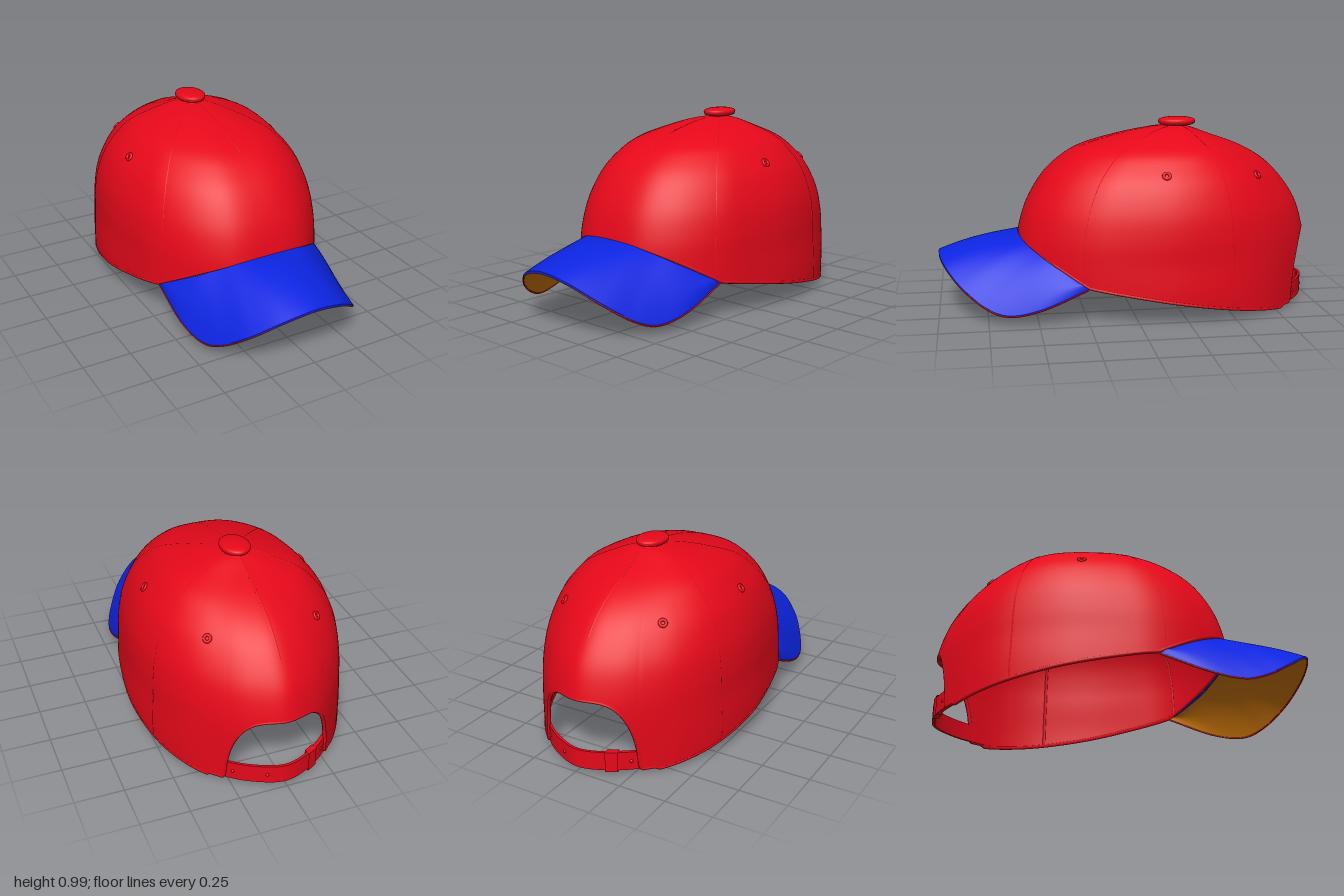
import * as THREE from 'three';
import { mergeVertices } from 'three/addons/utils/BufferGeometryUtils.js';

const V = (x, y, z) => new THREE.Vector3(x, y, z);
const paint = (color) => new THREE.MeshStandardMaterial({ color, side: THREE.DoubleSide });
const APEX_Z = -0.28;

// Plan outline of the crown, from the back round the left side to the front, then mirrored
const half = [[0, -0.995], [0.15, -0.945], [0.28, -0.85], [0.42, -0.69], [0.515, -0.48], [0.555, -0.2],
  [0.52, 0.1], [0.46, 0.28], [0.34, 0.45], [0.19, 0.555], [0, 0.58]];
const outline = new THREE.CatmullRomCurve3([
  ...half.map(([x, z]) => V(x, 0, z)),
  ...half.slice(1, -1).reverse().map(([x, z]) => V(-x, 0, z)),
], true, 'catmullrom');
const outlineAt = (u) => outline.getPoint(((u % 1) + 1) % 1);

// Radius fraction at each height, for the front, side and back of the crown
const heights = [0.95, 0.935, 0.9, 0.84, 0.77, 0.68, 0.55, 0.42, 0.3, 0.15, 0];
const profile = (radii) => new THREE.CatmullRomCurve3(
  radii.map((r, i) => V(r, heights[i], 0)), false, 'catmullrom');
const front = profile([0, 0.18, 0.38, 0.61, 0.745, 0.85, 0.94, 0.99, 1.01, 1.01, 1.01]);
const side = profile([0, 0.18, 0.37, 0.61, 0.74, 0.855, 0.94, 0.972, 0.978, 0.995, 0.99]);
const back = profile([0, 0.1, 0.23, 0.46, 0.64, 0.78, 0.91, 0.975, 1, 1, 1]);

// Profile parameter at a given height
function paramAt(y) {
  let lo = 0, hi = 1;
  for (let i = 0; i < 24; i++) {
    const mid = (lo + hi) / 2;
    if (side.getPoint(mid).y > y) lo = mid; else hi = mid;
  }
  return lo;
}

// Height of the lower edge: raised over the brim, arched over the rear opening
function rimHeight({ x, z }) {
  const a = Math.abs(x);
  if (z < -0.7 && a < 0.33) {
    return a < 0.275 ? Math.max(0.02, 0.385 * Math.sqrt(1 - Math.pow(a / 0.275, 4))) : 0.02;
  }
  return Math.max(0.01, 0.19 + (z - 0.25) * (z > 0.25 ? 0.61 : 0.175));
}

// Point on the crown: u runs round it, t runs from apex to base, inset moves it inward
function crownPoint(u, t, inset = 0) {
  const p = outlineAt(u);
  const dx = p.x, dz = p.z - APEX_Z;
  const c = dz / Math.hypot(dx, dz);
  const s = side.getPoint(t);
  const r = THREE.MathUtils.lerp(s.x, (c > 0 ? front : back).getPoint(t).x, c * c) * (1 - 1.5 * inset);
  return V(dx * r, s.y - inset * (1 - t), APEX_Z + dz * r);
}
const rimParam = (u) => paramAt(rimHeight(outlineAt(u)));

// Smooth surface over a grid of points
function grid(nu, nv, point) {
  const pos = [], index = [];
  for (let i = 0; i <= nu; i++) {
    for (let j = 0; j <= nv; j++) {
      pos.push(...point(i / nu, j / nv).toArray());
      if (i < nu && j < nv) {
        const a = i * (nv + 1) + j, b = a + nv + 1;
        index.push(a, a + 1, b, b, a + 1, b + 1);
      }
    }
  }
  let g = new THREE.BufferGeometry();
  g.setAttribute('position', new THREE.Float32BufferAttribute(pos, 3));
  g.setIndex(index);
  g = mergeVertices(g, 1e-5);
  g.computeVertexNormals();
  return g;
}

export function createModel() {
  const cap = new THREE.Group();
  cap.name = 'cap';
  const red = paint(0xe6081a), blue = paint(0x0c24e0), tan = paint(0xd87c08);
  const add = (name, geometry, material) => {
    const m = new THREE.Mesh(geometry, material);
    m.name = name;
    cap.add(m);
    return m;
  };
  const tube = (points, radius, segments, closed = false) =>
    new THREE.TubeGeometry(new THREE.CatmullRomCurve3(points, closed), segments, radius, 6, closed);

  // Crown shell, lining and the hem joining their edges
  add('crown', grid(360, 36, (u, v) => crownPoint(u, v * rimParam(u))), red);
  add('lining', grid(360, 36, (u, v) => crownPoint(u, v * rimParam(u), 0.016)), red);
  const hem = [];
  for (let i = 0; i < 240; i++) hem.push(crownPoint(i / 240, rimParam(i / 240), 0.008));
  add('hem', tube(hem, 0.01, 480, true), red);

  // Six panel seams, sunk so that only a low ridge shows
  for (const k of [0, 4, 7, 10, 13, 16]) {
    const u = k / 20, end = rimParam(u), pts = [];
    for (let i = 1; i <= 24; i++) pts.push(crownPoint(u, end * i / 24, 0.009));
    add('seam', tube(pts, 0.01, 60), red);
  }

  // Button on top: a flat rounded disc, longer from front to back
  const button = add('button', new THREE.LatheGeometry(new THREE.SplineCurve(
    [[0, -0.022], [0.6, -0.022], [0.92, -0.014], [1, 0], [0.93, 0.012], [0.6, 0.021], [0, 0.025]]
      .map(([r, y]) => new THREE.Vector2(r, y))).getPoints(24), 36), red);
  button.scale.set(0.076, 1, 0.1);
  button.position.set(0, 0.966, APEX_Z);

  // Stitched eyelets, mirrored
  for (const [k, y] of [[5.3, 0.74], [2.6, 0.71]]) {
    for (const u of [k / 20, 1 - k / 20]) {
      const t = paramAt(y), p = crownPoint(u, t);
      const du = crownPoint(u + 0.005, t).sub(p), dt = crownPoint(u, t + 0.01).sub(p);
      const n = du.cross(dt).normalize();
      if (n.y < 0) n.negate();
      const eyelet = add('eyelet', new THREE.TorusGeometry(0.016, 0.008, 8, 20), red);
      eyelet.position.copy(p);
      eyelet.quaternion.setFromUnitVectors(V(0, 0, 1), n);
    }
  }

  // Curved brim between the crown edge and the outer edge
  const mirrored = (pts) => new THREE.CatmullRomCurve3([
    ...pts.slice(1).reverse().map(([x, y, z]) => V(-x, y, z)),
    ...pts.map(([x, y, z]) => V(x, y, z)),
  ], false, 'catmullrom');
  const inner = mirrored([[0, 0.392, 0.58], [0.1, 0.387, 0.573], [0.19, 0.372, 0.553], [0.28, 0.332, 0.495],
    [0.35, 0.292, 0.435], [0.42, 0.237, 0.335], [0.463, 0.195, 0.25]]);
  const outer = mirrored([[0, 0.3, 0.998], [0.16, 0.267, 0.973], [0.29, 0.18, 0.89], [0.38, 0.092, 0.77],
    [0.43, 0.056, 0.65], [0.46, 0.092, 0.48], [0.465, 0.19, 0.25]]);
  const brim = (drop) => (u, v) => {
    const p = inner.getPoint(u).lerp(outer.getPoint(u), v);
    p.y += 0.075 * v * (1 - v) - drop;
    return p;
  };
  add('brimTop', grid(96, 16, brim(0)), blue);
  add('brimUnderside', grid(96, 16, brim(0.014)), tan);
  add('brimEdge', grid(96, 1, (u, v) => brim(0.01 * v)(u, 1)), blue);
  const piping = [];
  for (let i = 0; i <= 72; i++) piping.push(brim(0.012)(i / 72, 0.99));
  add('brimPiping', tube(piping, 0.004, 144), red);

  // Band with a rectangular section, following the back of the outline
  const band = (u0, u1, y0, y1, grow, thick) => {
    const corners = [[0, y0], [0, y1], [-thick, y1], [-thick, y0], [0, y0]];
    const g = grid(40, 4, (u, v) => {
      const p = outlineAt(THREE.MathUtils.lerp(u0, u1, u));
      const [d, y] = corners[Math.round(v * 4)];
      const r = 0.985 + grow + d;
      return V(p.x * r, y, APEX_Z + (p.z - APEX_Z) * r);
    }).toNonIndexed();
    g.computeVertexNormals();
    return g;
  };
  add('strap', band(-0.12, 0.12, 0.018, 0.115, 0, 0.02), red);
  add('strapOverlap', band(-0.12, -0.05, 0.02, 0.112, -0.02, 0.015), red);
  add('strapLoop', band(-0.065, -0.045, 0.012, 0.118, 0.01, 0.05), red);

  // Strap studs
  for (const u of [-0.085, 0.03, 0.085]) {
    const p = outlineAt(u);
    const stud = add('strapStud', new THREE.SphereGeometry(0.009, 12, 8), red);
    stud.position.set(p.x * 0.982, 0.065, APEX_Z + (p.z - APEX_Z) * 0.982);
  }
  return cap;
}
